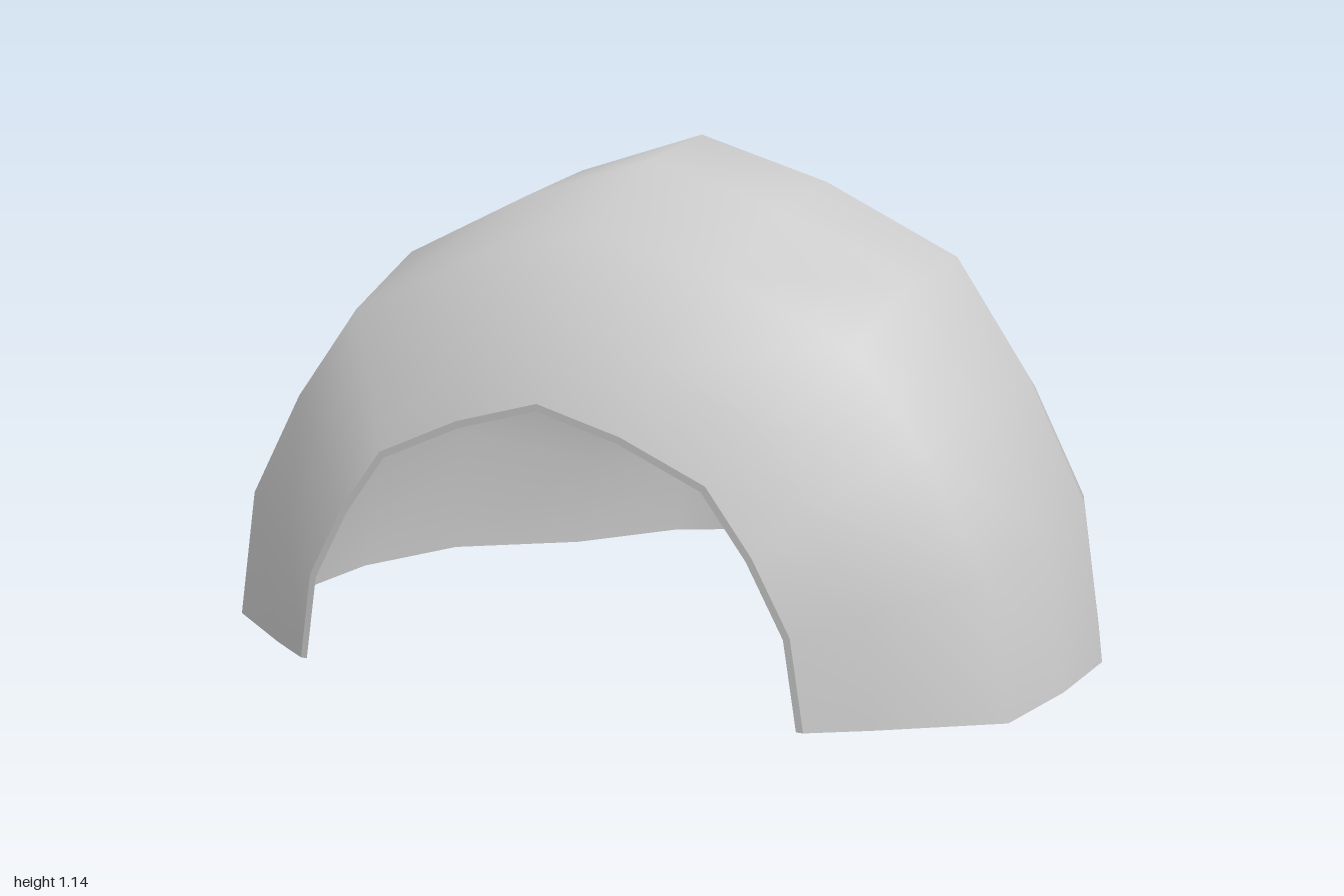
import * as THREE from 'three';
import { mergeVertices } from 'three/addons/utils/BufferGeometryUtils.js';

// Unit half arch, from the base on the side up to the crown
const HALF = [[1, 0], [0.95, 0.31], [0.81, 0.56], [0.64, 0.78], [0.32, 0.915], [0, 1]];
const ARCH = [...HALF, ...HALF.slice(0, -1).reverse().map(([x, y]) => [-x, y])];

// Cross-sections from front to back: z, half width, height
const OUTER = [
  [0.83, 0.62, 0.63], [0.75, 0.74, 0.79], [0.58, 0.97, 0.97], [0.32, 1, 1.1],
  [0.06, 1, 1.14], [-0.22, 0.9, 1.0], [-0.42, 0.64, 0.75], [-0.67, 0.47, 0.65],
  [-0.75, 0.33, 0.43], [-0.8, 0.15, 0.29], [-0.84, 0, 0.1],
];
const WALL = 0.03;

// Inner sections: shrunk by the wall, thinner at the front lip
const INNER = OUTER.map(([z, w, h], i) => {
  const t = i === 0 ? 0.016 : WALL;
  return [i < 5 ? z : z + WALL * (i - 4) / 6, Math.max(0, w - t), h - t];
});

const grid = (sections) => sections.map(([z, w, h]) => ARCH.map(([x, y]) => [x * w, y * h, z]));

// Skin between rows of points; flip turns the faces inward
function skin(name, rows, material, flip = false) {
  const n = rows[0].length;
  const index = [];
  for (let i = 0; i < rows.length - 1; i++) {
    for (let j = 0; j < n - 1; j++) {
      const a = i * n + j, b = a + n, c = b + 1, d = a + 1;
      if (flip) index.push(a, d, b, d, c, b);
      else index.push(a, b, d, d, b, c);
    }
  }
  let geometry = new THREE.BufferGeometry();
  geometry.setAttribute('position', new THREE.Float32BufferAttribute(rows.flat(2), 3));
  geometry.setIndex(index);
  geometry = mergeVertices(geometry, 1e-4);
  geometry.computeVertexNormals();
  const mesh = new THREE.Mesh(geometry, material);
  mesh.name = name;
  return mesh;
}

export function createModel() {
  const group = new THREE.Group();
  group.name = 'domeShell';
  const material = new THREE.MeshStandardMaterial({ color: 0xcccccc });
  const outer = grid(OUTER), inner = grid(INNER);

  // Walls
  group.add(skin('outerWall', outer, material));
  group.add(skin('innerWall', inner, material, true));

  // Lip around the front opening
  group.add(skin('frontRim', [inner[0], outer[0]], material));

  // Bottom edge: down one side to the back, then along the other to the front
  const edge = (g) => [...g.map((r) => r[0]), ...g.map((r) => r[r.length - 1]).reverse()];
  group.add(skin('baseRim', [edge(outer), edge(inner)], material));

  return group;
}
